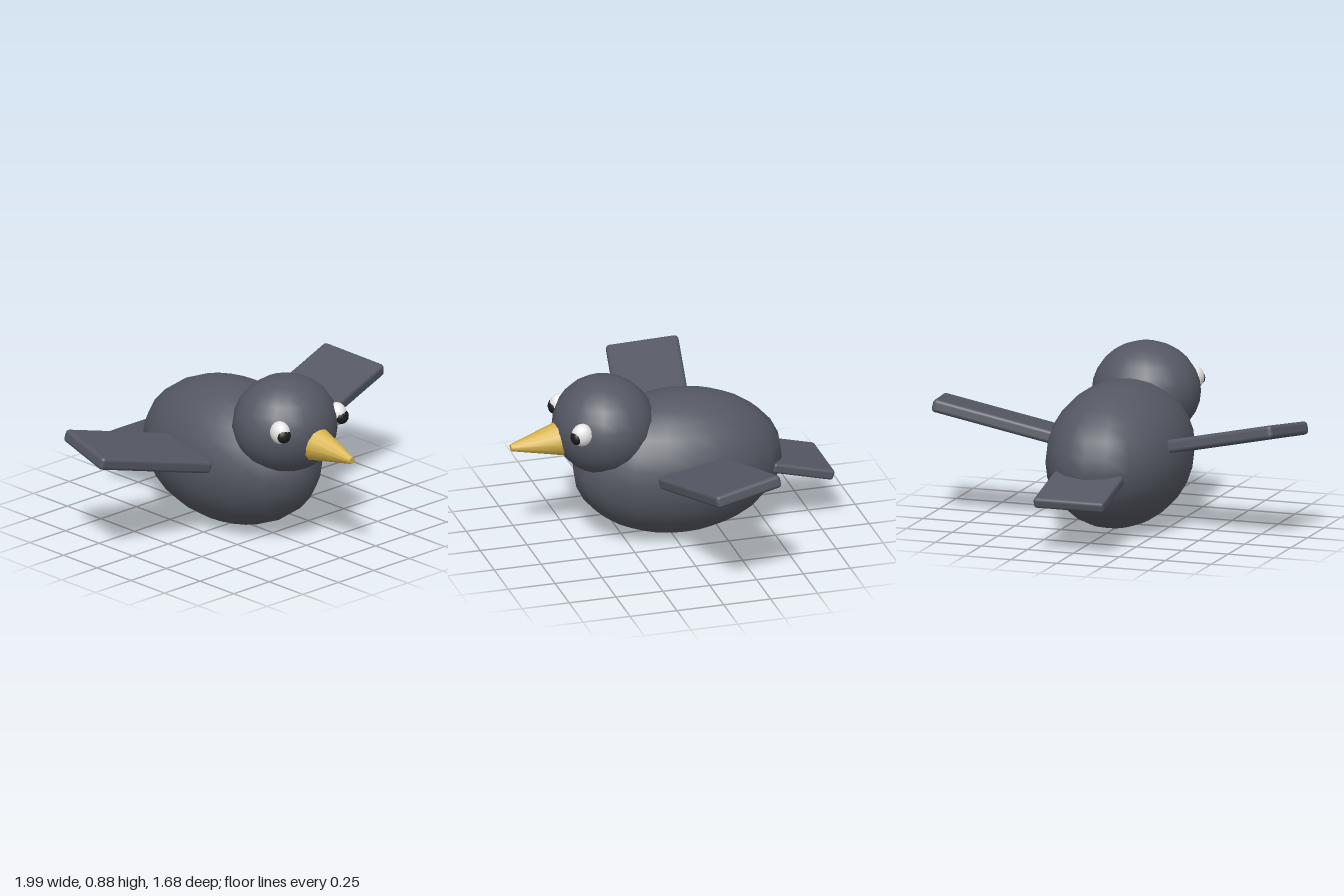
import * as THREE from 'three';
import { RoundedBoxGeometry } from 'three/addons/geometries/RoundedBoxGeometry.js';

const material = (name, color) => {
  const m = new THREE.MeshStandardMaterial({ color });
  m.name = name;
  return m;
};

export function createModel() {
  const bird = new THREE.Group();
  bird.name = 'bird';

  const plumage = material('slate plumage', 0x555863);
  const beakYellow = material('beak yellow', 0xd8b44e);
  const eyeWhite = material('eye white', 0xf2f2f2);
  const pupilBlack = material('pupil black', 0x1c1c1e);

  const add = (name, geometry, mat) => {
    const mesh = new THREE.Mesh(geometry, mat);
    mesh.name = name;
    bird.add(mesh);
    return mesh;
  };

  // Stretched sphere with the given centre and radii
  const ellipsoid = (name, mat, centre, radii, w = 20, h = 14) => {
    const mesh = add(name, new THREE.SphereGeometry(1, w, h), mat);
    mesh.position.set(...centre);
    mesh.scale.set(...radii);
    return mesh;
  };

  // Body and head
  ellipsoid('body', plumage, [0, 0.38, -0.05], [0.357, 0.376, 0.552]);
  ellipsoid('head', plumage, [0, 0.63, 0.342], [0.281, 0.256, 0.264]);

  // Blunt beak, dipping slightly forward
  const beak = add('beak', new THREE.CylinderGeometry(0.018, 0.092, 0.27, 12), beakYellow);
  beak.position.set(0, 0.57, 0.703);
  beak.rotation.x = Math.PI / 2 + 0.08;

  // Tail plate sloping down to the back
  const tail = add('tail', new RoundedBoxGeometry(0.38, 0.055, 0.335, 2, 0.016), plumage);
  tail.position.set(0, 0.308, -0.671);
  tail.rotation.x = -0.25;

  for (const [side, s] of [['left', 1], ['right', -1]]) {
    // Eyes, with pupils set on their front
    ellipsoid(side + 'Eye', eyeWhite, [s * 0.2, 0.676, 0.515], [0.048, 0.06, 0.057], 16, 12);
    ellipsoid(side + 'Pupil', pupilBlack, [s * 0.204, 0.667, 0.549], [0.04, 0.038, 0.028], 16, 12);

    // Raised, swept-back wing, aligned along its span and chord
    const span = new THREE.Vector3(0.957, s * 0.232, s * -0.174).normalize();
    const up = new THREE.Vector3(s * 0.215, -0.121, 0.969).cross(span).normalize();
    const chord = new THREE.Vector3().crossVectors(span, up);
    const wing = add(side + 'Wing', new RoundedBoxGeometry(0.695, 0.068, 0.375, 2, 0.02), plumage);
    wing.position.set(s * 0.627, 0.518, -0.09);
    wing.quaternion.setFromRotationMatrix(new THREE.Matrix4().makeBasis(span, up, chord));
  }

  return bird;
}
